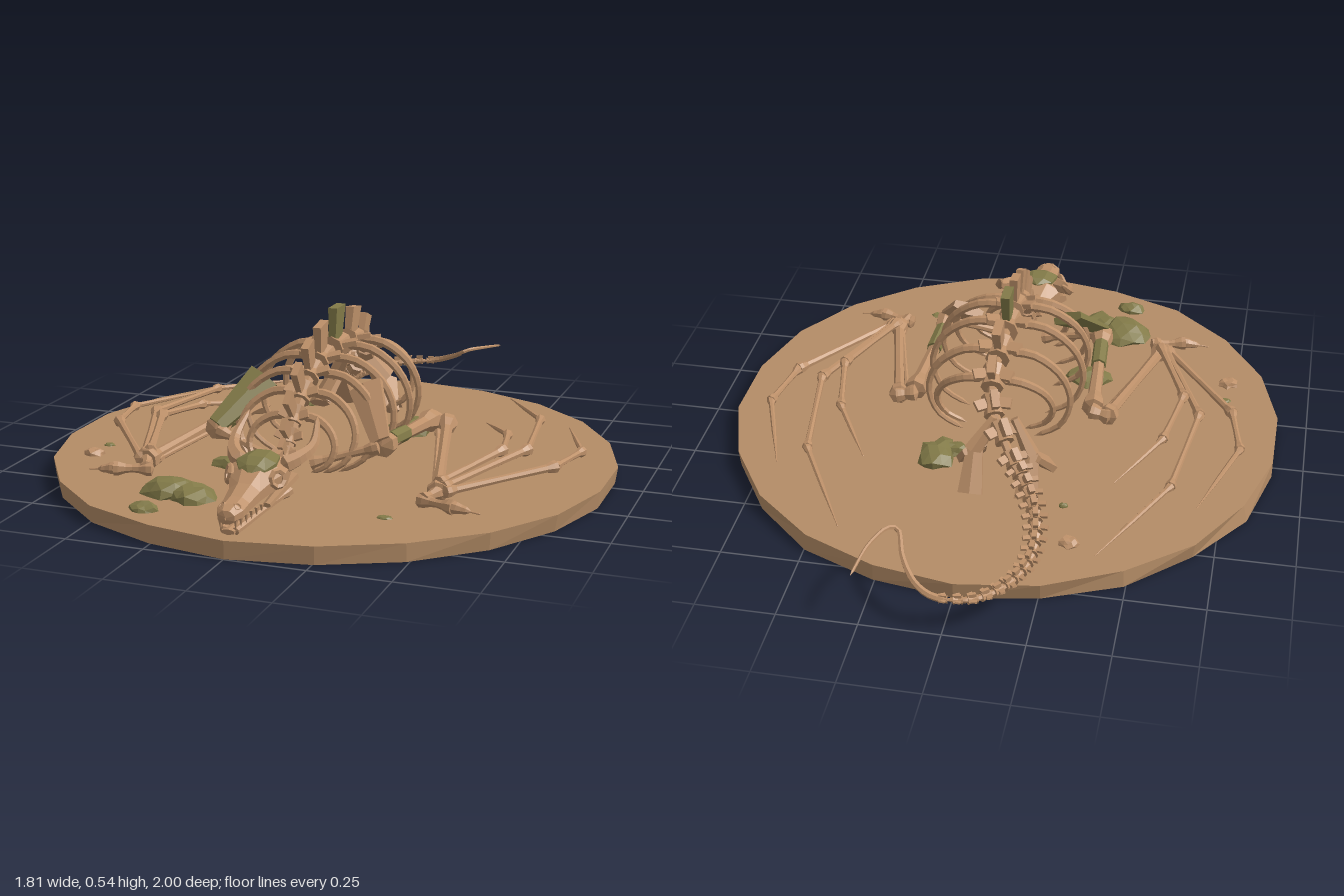
import * as THREE from 'three';

const V = (x, y, z) => new THREE.Vector3(x, y, z);
const UP = V(0, 1, 0);
const hash = (x, y, z) => {
  const s = Math.sin(Math.round(x * 1e3) * 12.99 + Math.round(y * 1e3) * 78.23 + Math.round(z * 1e3) * 37.72) * 43758.5;
  return s - Math.floor(s);
};

export function createModel() {
  const model = new THREE.Group();
  const bone = new THREE.MeshStandardMaterial({ color: 0xbd9069 });
  bone.name = 'bone';
  const earth = new THREE.MeshStandardMaterial({ color: 0xb48c66 });
  earth.name = 'earth';
  const moss = new THREE.MeshStandardMaterial({ color: 0x827a48 });
  moss.name = 'moss';

  // Faceted mesh
  function add(name, geo, mat = bone, parent = model) {
    const g = geo.index ? geo.toNonIndexed() : geo;
    g.computeVertexNormals();
    const m = new THREE.Mesh(g, mat);
    m.name = name;
    parent.add(m);
    return m;
  }
  // Stand a y-aligned mesh on point a, aimed at b
  function aim(m, a, b) {
    m.position.copy(a);
    m.quaternion.setFromUnitVectors(UP, b.clone().sub(a).normalize());
    return m;
  }
  // Long bone with swollen ends
  function longBone(name, a, b, r, knob = 1.6, tip = knob) {
    const L = a.distanceTo(b), e = Math.min(r * 2.2, L * 0.25);
    const profile = [[0, -r * 0.7], [r * knob, -r * 0.2], [r * knob * 0.95, e * 0.5], [r, e * 1.3], [r * 0.85, L / 2],
      [r * Math.min(1, tip), L - e * 1.3], [r * tip * 0.95, L - e * 0.5], [r * tip, L], [0, L + r * 0.4]];
    const g = new THREE.LatheGeometry(profile.map(p => new THREE.Vector2(...p)), 7);
    return aim(add(name, g), a, b);
  }
  // Flat tapered plate of bone
  function blade(name, a, b, w0, w1, flat = 0.3, mat = bone) {
    const L = a.distanceTo(b);
    const g = new THREE.CylinderGeometry(w1, w0, L, 6).translate(0, L / 2, 0).scale(1, 1, flat);
    return aim(add(name, g, mat), a, b);
  }
  // Curved tube whose radius follows a rule, closed at both ends
  function taper(name, pts, radius, segs = 14, sides = 6, mat = bone) {
    const curve = new THREE.CatmullRomCurve3(pts);
    const g = new THREE.TubeGeometry(curve, segs, 1, sides);
    const p = g.attributes.position, v = V(0, 0, 0);
    for (let i = 0; i < p.count; i++) {
      const ring = Math.floor(i / (sides + 1)), t = ring / segs, c = curve.getPointAt(t);
      const r = ring === 0 || ring === segs ? 0 : radius(t);
      v.fromBufferAttribute(p, i).sub(c).multiplyScalar(r).add(c);
      p.setXYZ(i, v.x, v.y, v.z);
    }
    return add(name, g, mat);
  }
  // Skin over oval sections [z, halfWidth, bottom, top]
  function loft(name, sections, sides = 8, mat = bone) {
    const pos = [], idx = [];
    sections.forEach(([z, w, lo, hi], i) => {
      for (let j = 0; j < sides; j++) {
        const a = ((j + 0.5) / sides) * Math.PI * 2;
        pos.push(Math.cos(a) * w, (lo + hi) / 2 + Math.sin(a) * (hi - lo) / 2, z);
        if (i < sections.length - 1) {
          const A = i * sides + j, B = i * sides + (j + 1) % sides;
          idx.push(A, B, A + sides, B, B + sides, A + sides);
        }
      }
    });
    const g = new THREE.BufferGeometry();
    g.setAttribute('position', new THREE.Float32BufferAttribute(pos, 3));
    g.setIndex(idx);
    return add(name, g, mat);
  }
  function rock(name, x, z, rx, h, rz, mat) {
    const g = new THREE.IcosahedronGeometry(1, 1), p = g.attributes.position;
    for (let i = 0; i < p.count; i++) {
      const k = 0.8 + 0.35 * hash(p.getX(i) + x, p.getY(i), p.getZ(i) + z);
      p.setXYZ(i, p.getX(i) * k * rx, p.getY(i) * k * h, p.getZ(i) * k * rz);
    }
    add(name, g, mat).position.set(x, 0.055, z);
  }

  // Ground slab with an uneven rim
  const N = 22, slab = new THREE.CylinderGeometry(0.92, 0.92, 0.055, N), sp = slab.attributes.position;
  for (let i = 0; i < sp.count; i++) {
    const x = sp.getX(i), z = sp.getZ(i);
    if (Math.hypot(x, z) < 0.1) continue;
    const k = (Math.round(Math.atan2(x, z) / (2 * Math.PI) * N) + N) % N;
    const f = 1 - 0.018 * hash(k, sp.getY(i) > 0 ? 1 : 2, 3);
    sp.setXYZ(i, x * f, sp.getY(i), z * f);
  }
  add('groundSlab', slab, earth).position.set(0, 0.0275, 0.08);

  // Spine: x, y, z, body radius, crest height
  const spine = [
    [0, 0.15, 0.62, 0.02, 0.03], [0, 0.145, 0.57, 0.022, 0.035], [0, 0.17, 0.525, 0.024, 0.04],
    [0, 0.215, 0.485, 0.026, 0.06], [0, 0.27, 0.44, 0.028, 0.08], [0, 0.325, 0.375, 0.032, 0.085],
    [0, 0.37, 0.3, 0.036, 0.085], [0, 0.395, 0.21, 0.038, 0.09], [0, 0.405, 0.08, 0.042, 0.105],
    [0, 0.395, -0.065, 0.04, 0.085], [0, 0.365, -0.18, 0.037, 0.07], [-0.015, 0.315, -0.265, 0.034, 0.06],
    [-0.055, 0.265, -0.335, 0.032, 0.05]];
  const tailPath = new THREE.CatmullRomCurve3([V(-0.1, 0.215, -0.4), V(-0.165, 0.155, -0.48), V(-0.205, 0.12, -0.58),
    V(-0.215, 0.095, -0.68), V(-0.2, 0.09, -0.78), V(-0.15, 0.095, -0.88), V(-0.08, 0.1, -0.945), V(0, 0.105, -0.965)]);
  const TAIL = 18;
  for (let i = 0; i < TAIL; i++) {
    const t = i / (TAIL - 1), q = tailPath.getPointAt(t);
    spine.push([q.x, q.y, q.z, 0.029 - 0.017 * t, 0.04 - 0.03 * t]);
  }
  const pts = spine.map(s => V(s[0], s[1], s[2]));
  taper('spinalCore', pts, t => 0.021 - 0.012 * t, 60);
  spine.forEach(([, , , r, h], i) => {
    const front = pts[Math.max(0, i - 1)], back = pts[Math.min(pts.length - 1, i + 1)];
    const gap = front.distanceTo(back) / (i === 0 || i === pts.length - 1 ? 1 : 2);
    const len = Math.min(gap * 0.72, r * 2.2);
    const g = new THREE.Group();
    g.name = 'vertebra';
    g.position.copy(pts[i]);
    g.lookAt(pts[i].clone().add(front).sub(back));
    const hour = [[0, -len / 2], [r, -len / 2], [r * 0.75, 0], [r, len / 2], [0, len / 2]];
    add('vertebraBody', new THREE.LatheGeometry(hour.map(p => new THREE.Vector2(...p)), 8).rotateX(Math.PI / 2), bone, g);
    // Crest widens towards its top
    const crest = new THREE.BoxGeometry(r * 0.55, h, len * 0.7), cp = crest.attributes.position;
    for (let k = 0; k < cp.count; k++) if (cp.getY(k) > 0) cp.setXYZ(k, cp.getX(k) * 1.3, cp.getY(k), cp.getZ(k) * 1.25 - len * 0.15);
    add('crest', crest, i === 8 ? moss : bone, g).position.y = r * 0.6 + h / 2;
    for (const s of [-1, 1]) {
      const wing = add('sideProcess', new THREE.BoxGeometry(r * 1.1, r * 0.4, len * 0.5), bone, g);
      wing.position.set(s * r * 1.15, r * 0.35, 0);
      wing.rotation.set(0, s * 0.3, s * 0.2);
    }
    model.add(g);
  });
  taper('tailTip', [V(-0.02, 0.104, -0.965), V(0.04, 0.115, -0.965), V(0.09, 0.135, -0.94), V(0.14, 0.165, -0.87), V(0.175, 0.195, -0.78),
    V(0.2, 0.205, -0.79), V(0.24, 0.2, -0.87), V(0.265, 0.18, -1.0)], t => 0.012 - 0.008 * t, 28);

  // Ribs: z, half width, top, bottom, forward sweep
  const ribs = [[0.44, 0.14, 0.27, 0.11, 0.05], [0.375, 0.19, 0.33, 0.1, 0.08], [0.3, 0.23, 0.375, 0.08, 0.07],
    [0.21, 0.25, 0.405, 0.075, 0.03], [0.08, 0.255, 0.415, 0.07, 0], [-0.07, 0.235, 0.4, 0.085, -0.01], [-0.185, 0.19, 0.365, 0.15, 0.05]];
  for (const s of [-1, 1]) {
    for (const [z, w, top, low, dz] of ribs) {
      const h = top - low;
      taper('rib', [V(s * 0.02, top, z), V(s * w * 0.5, top - h * 0.03, z), V(s * w * 0.87, top - h * 0.24, z + dz * 0.3),
        V(s * w, top - h * 0.53, z + dz * 0.6), V(s * w * 0.86, top - h * 0.83, z + dz * 0.9), V(s * w * 0.5, low, z + dz)],
      t => 0.016 - 0.008 * t, 16);
    }

    // Shoulder and folded wing arm
    const shoulder = V(s * 0.275, 0.195, 0.41), elbow = V(s * 0.3, 0.165, 0), wrist = V(s * 0.475, 0.095, 0.5);
    blade('shoulderBlade', V(s * 0.27, 0.21, 0.42), V(s * 0.17, 0.335, 0.27), 0.035, 0.062, 0.35, s < 0 ? moss : bone);
    longBone('collarBone', V(s * 0.26, 0.19, 0.42), V(s * 0.06, 0.13, 0.46), 0.014);
    longBone('upperArm', shoulder, elbow, 0.024);
    longBone('forearm', V(s * 0.35, 0.155, -0.02), wrist, 0.019, 1.8);
    longBone('elbowJoint', V(s * 0.3, 0.165, -0.02), V(s * 0.355, 0.155, -0.025), 0.024, 1.2);
    longBone('forearmStrut', V(s * 0.335, 0.135, 0.03), V(s * 0.455, 0.09, 0.47), 0.009);
    aim(add('armMoss', new THREE.CylinderGeometry(0.026, 0.026, 0.12, 7), moss), V(s * 0.282, 0.19, 0.29), elbow);

    // Wing fingers, wrist to tip
    const fingers = [
      [[0.5, 0.1, 0.5], [0.75, 0.1, 0.15], [0.79, 0.095, -0.05], [0.68, 0.075, -0.36]],
      [[0.49, 0.11, 0.49], [0.645, 0.125, 0.08], [0.59, 0.11, -0.31], [0.4, 0.075, -0.65]],
      [[0.475, 0.12, 0.48], [0.585, 0.14, 0.16], [0.54, 0.12, -0.07], [0.41, 0.085, -0.29]]];
    for (const f of fingers) for (let i = 0; i < 3; i++)
      longBone('wingFinger', V(s * f[i][0], f[i][1], f[i][2]), V(s * f[i + 1][0], f[i + 1][1], f[i + 1][2]), 0.013 - i * 0.002, 1.6, i === 2 ? 0.25 : 1.6);
    longBone('palm', wrist, V(s * 0.45, 0.09, 0.56), 0.017, 1.3);
    longBone('thumb', V(s * 0.44, 0.085, 0.55), V(s * 0.55, 0.085, 0.585), 0.015);
    longBone('thumbClaw', V(s * 0.55, 0.085, 0.585), V(s * 0.63, 0.075, 0.59), 0.014, 1.4, 0.2);

    // Pelvis, leaning with the tail bend
    const px = -0.06, hip = V(px + s * 0.09, 0.2, -0.34);
    blade('hipBlade', V(px + s * 0.03, 0.3, -0.3), hip, 0.03, 0.06, 0.45);
    blade('hipFront', hip, V(px + s * 0.12, 0.11, -0.25), 0.045, 0.055, 0.4);
    blade('hipBack', hip, V(px + s * 0.09, 0.08, -0.42), 0.03, 0.045, 0.4);

    // Horn, eye rim, jaw and teeth
    taper('horn', [V(s * 0.06, 0.195, 0.72), V(s * 0.105, 0.215, 0.67), V(s * 0.125, 0.24, 0.61), V(s * 0.11, 0.305, 0.535)], t => 0.029 - 0.023 * t, 12);
    const eye = add('eyeRim', new THREE.TorusGeometry(0.024, 0.009, 5, 8));
    eye.position.set(s * 0.076, 0.178, 0.775);
    eye.rotation.set(-0.4, s * 1.0, 0);
    blade('cheekBone', V(s * 0.085, 0.16, 0.68), V(s * 0.06, 0.11, 0.82), 0.025, 0.015, 0.6);
    longBone('jaw', V(s * 0.075, 0.115, 0.69), V(s * 0.018, 0.07, 0.95), 0.012, 1.5, 1);
    for (let i = 0; i < 6; i++) {
      const tooth = add('tooth', new THREE.ConeGeometry(0.007, 0.03, 5).rotateX(Math.PI));
      tooth.position.set(s * (0.024 + i * 0.005), 0.092 + i * 0.002, 0.962 - i * 0.026);
    }
    const nostril = add('nostrilRim', new THREE.TorusGeometry(0.01, 0.005, 4, 7));
    nostril.position.set(s * 0.022, 0.14, 0.945);
    nostril.rotation.set(-1.0, s * 0.5, 0);
  }

  // Skull
  loft('skull', [[0.615, 0.002, 0.16, 0.165], [0.62, 0.045, 0.13, 0.195], [0.68, 0.09, 0.125, 0.225], [0.75, 0.1, 0.12, 0.222],
    [0.79, 0.075, 0.115, 0.205], [0.84, 0.052, 0.105, 0.178], [0.9, 0.044, 0.1, 0.158], [0.945, 0.044, 0.095, 0.15],
    [0.975, 0.028, 0.095, 0.138], [0.98, 0.002, 0.11, 0.12]]);
  loft('skullMoss', [[0.665, 0.002, 0.218, 0.222], [0.69, 0.055, 0.185, 0.236], [0.75, 0.068, 0.18, 0.233],
    [0.785, 0.045, 0.17, 0.216], [0.81, 0.002, 0.18, 0.185]], 8, moss);
  blade('chin', V(0, 0.07, 0.88), V(0, 0.07, 0.965), 0.028, 0.022, 0.4);

  // Boulders and pebbles: x, z, half sizes, material
  const rocks = [[-0.32, 0.65, 0.09, 0.05, 0.085, moss], [-0.23, 0.69, 0.07, 0.045, 0.07, moss], [-0.33, 0.83, 0.045, 0.025, 0.04, moss],
    [0.18, -0.21, 0.06, 0.05, 0.085, moss], [0.13, -0.17, 0.05, 0.03, 0.035, moss], [-0.24, 0.34, 0.08, 0.03, 0.06, moss],
    [-0.72, 0.39, 0.034, 0.02, 0.032, bone], [-0.31, -0.58, 0.033, 0.022, 0.03, bone], [-0.72, 0.285, 0.02, 0.008, 0.015, moss],
    [0.365, 0.66, 0.025, 0.006, 0.02, moss], [-0.265, -0.4, 0.016, 0.012, 0.014, moss]];
  for (const [x, z, rx, h, rz, mat] of rocks) rock('rock', x, z, rx, h, rz, mat);

  return model;
}
